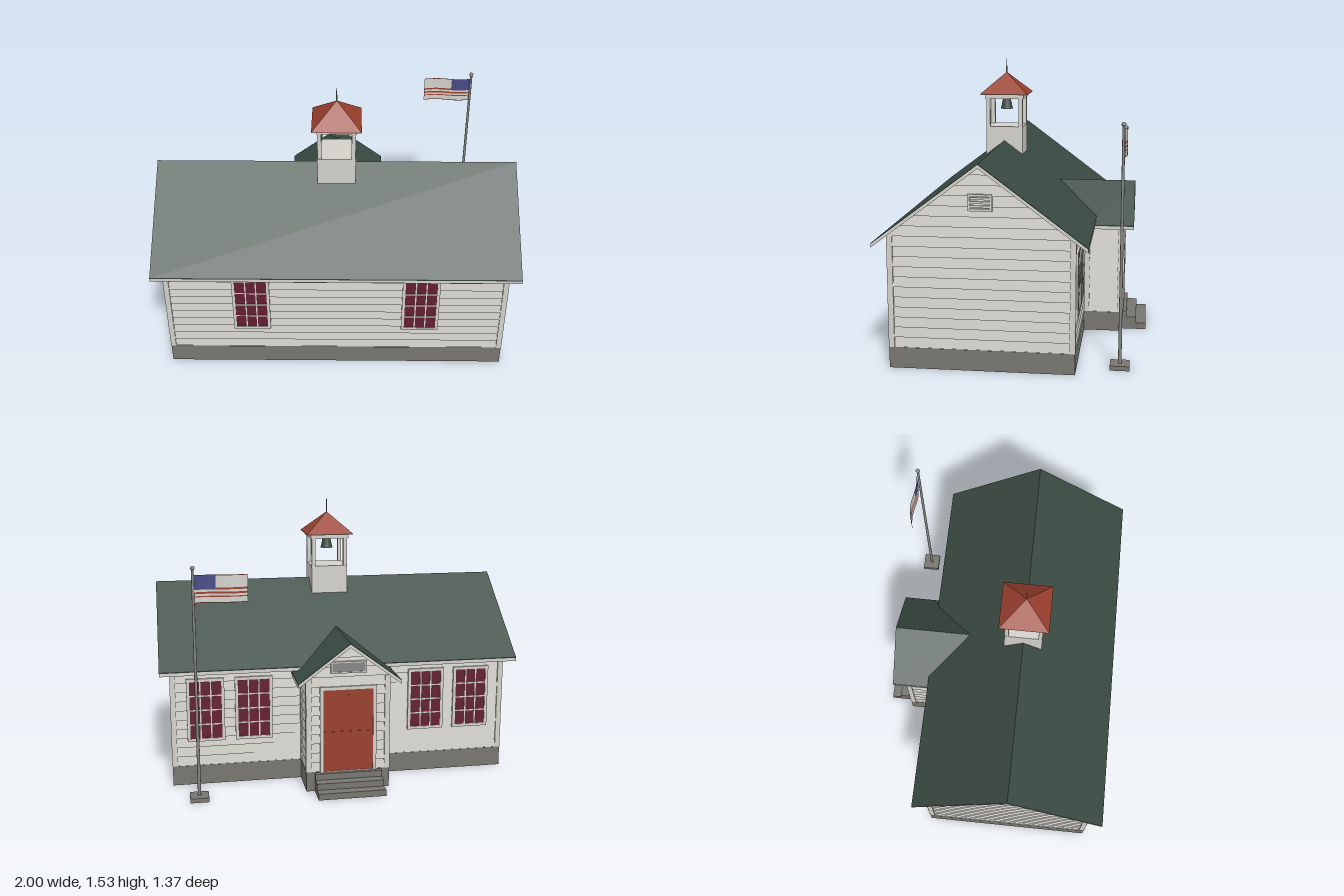
import * as THREE from 'three';

const mat = (name, color, side = THREE.FrontSide) => {
  const m = new THREE.MeshStandardMaterial({ color, side });
  m.name = name;
  return m;
};

export function createModel() {
  const D = THREE.DoubleSide;
  const siding = mat('siding white', 0xd3d1ca, D);
  const shingle = mat('shingle green', 0x3a4a43, D);
  const stone = mat('foundation grey', 0x787670, D);
  const red = mat('barn red', 0x9a402e, D);
  const glass = mat('window maroon', 0x631f33);
  const metal = mat('metal grey', 0x858683);
  const blue = mat('flag blue', 0x454a85, D);

  const model = new THREE.Group();
  model.name = 'schoolhouse';
  const add = (parent, name, geo, material, x = 0, y = 0, z = 0) => {
    const m = new THREE.Mesh(geo, material);
    m.name = name;
    m.position.set(x, y, z);
    parent.add(m);
    return m;
  };
  const box = (parent, name, material, w, h, d, x, y, z) =>
    add(parent, name, new THREE.BoxGeometry(w, h, d), material, x, y, z);

  // Rectangular trim frame around an opening of w x h, with border b
  const frame = (parent, name, w, h, b, d, x, y, z) => {
    for (const s of [-1, 1]) {
      box(parent, name, siding, b, h + 2 * b, d, x + s * (w + b) / 2, y, z);
      box(parent, name, siding, w, b, d, x, y + s * (h + b) / 2, z);
    }
  };

  // Lapped boards facing +z; half(y) gives the half width at each height
  const BASE = 0.11, LAP = 0.008;
  const clapboards = (top, step, half) => {
    const p = [];
    const quad = (a, b, c, d) => p.push(...a, ...b, ...c, ...a, ...c, ...d);
    for (let y = BASE; y < top - 1e-4; y += step) {
      const y2 = Math.min(y + step, top), w = half(y), w2 = half(y2);
      quad([-w, y, 0], [w, y, 0], [w2, y2, -LAP], [-w2, y2, -LAP]);
      quad([-w, y, -LAP], [w, y, -LAP], [w, y, 0], [-w, y, 0]);
    }
    const g = new THREE.BufferGeometry();
    g.setAttribute('position', new THREE.Float32BufferAttribute(p, 3));
    g.computeVertexNormals();
    return g;
  };

  const addWindow = (wall, x) => {
    const w = 0.175, h = 0.325, y = 0.428;
    box(wall, 'windowPane', glass, w, h, 0.014, x, y, -0.005);
    frame(wall, 'windowFrame', w, h, 0.016, 0.018, x, y, -0.003);
    for (const i of [-1, 1]) box(wall, 'muntin', siding, 0.007, h, 0.006, x + i * w / 6, y, 0.002);
    for (const i of [-1, 0, 1]) box(wall, 'muntin', siding, w, 0.007, 0.006, x, y + i * h / 4, 0.002);
  };

  // Walls: each group faces outward along its own +z
  const SLOPE = 0.75;
  const addWall = (name, x, z, turn, half, eave, courses, peak = eave) => {
    const wall = new THREE.Group();
    wall.name = name;
    wall.position.set(x, 0, z);
    wall.rotation.y = turn;
    model.add(wall);
    add(wall, 'foundation', new THREE.PlaneGeometry(half * 2, BASE), stone, 0, BASE / 2, 0);
    const width = y => (y <= eave + 1e-4 ? half : Math.max(0, (peak - y) / SLOPE));
    add(wall, 'clapboards', clapboards(peak, (eave - BASE) / courses, width), siding, 0, 0, -0.002);
    for (const s of [-1, 1])
      box(wall, 'cornerBoard', siding, 0.028, eave - BASE, 0.012, s * (half - 0.014), (eave + BASE) / 2, -0.004);
    return wall;
  };
  const MID = 0.145, Q = Math.PI / 2;
  const front = addWall('frontWall', 0, 0.62, 0, 0.945, 0.69, 11);
  const back = addWall('backWall', 0, -0.33, Math.PI, 0.945, 0.69, 11);
  const porch = addWall('porchWall', 0, -0.545, Math.PI, 0.23, 0.64, 10, 0.815);
  for (const s of [-1, 1]) {
    const gable = addWall('gableWall', s * 0.945, MID, s * Q, 0.475, 0.69, 11, 1.05);
    frame(gable, 'ventFrame', 0.1, 0.06, 0.012, 0.018, 0, 0.87, 0);
    for (const i of [-1, 0, 1]) box(gable, 'ventSlat', siding, 0.1, 0.012, 0.012, 0, 0.87 + i * 0.02, 0);
    addWall('porchSideWall', s * 0.23, -0.4375, s * Q, 0.1075, 0.64, 10);
    addWindow(front, s * 0.47);
    addWindow(back, s * 0.49);
    addWindow(back, s * 0.755);
  }

  // Porch door and sign board
  box(porch, 'door', red, 0.275, 0.46, 0.014, 0, 0.34, -0.004);
  box(porch, 'doorRail', red, 0.275, 0.012, 0.004, 0, 0.33, 0.004);
  box(porch, 'doorStile', red, 0.012, 0.2, 0.004, 0, 0.44, 0.004);
  frame(porch, 'doorFrame', 0.275, 0.46, 0.018, 0.02, 0, 0.34, -0.002);
  box(porch, 'signBoard', metal, 0.18, 0.05, 0.012, 0, 0.695, 0.005);
  frame(porch, 'signFrame', 0.18, 0.05, 0.007, 0.018, 0, 0.695, 0.005);

  // Steps
  for (let i = 0; i < 3; i++) {
    const h = 0.105 - i * 0.035, d = i ? 0.055 : 0.025;
    box(model, 'step', stone, 0.37, h, d, 0, h / 2, -0.57 - i * 0.055 + d / 2);
  }

  // Gable roof slab, ridge along z and starting at z = 0
  const chevron = (ridge, span, thick, length) => {
    const e = ridge - span * SLOPE;
    const s = new THREE.Shape();
    s.moveTo(0, ridge);
    s.lineTo(-span, e);
    s.lineTo(-span, e - thick);
    s.lineTo(0, ridge - thick);
    s.lineTo(span, e - thick);
    s.lineTo(span, e);
    return new THREE.ExtrudeGeometry(s, { depth: length, bevelEnabled: false });
  };
  for (const [name, material, ridge, thick] of [
    ['Deck', siding, 1.066, 0.018], ['Shingles', shingle, 1.07, 0.004]]) {
    const main = chevron(ridge, 0.54, thick, 2).translate(0, 0, -1).rotateY(Q);
    add(model, 'roof' + name, main, material, 0, 0, MID);
    // Porch roof: inner end is slanted to finish just under the main roof
    const small = chevron(ridge - 0.235, 0.28, thick, 0.265);
    const p = small.attributes.position;
    for (let i = 0; i < p.count; i++)
      if (p.getZ(i) > 0.1) p.setZ(i, 0.265 + (p.getY(i) - 0.625) * 0.82);
    small.computeVertexNormals();
    add(model, 'porchRoof' + name, small, material, 0, 0, -0.605);
  }

  // Bell tower
  const tower = new THREE.Group();
  tower.name = 'bellTower';
  tower.position.z = MID;
  model.add(tower);
  box(tower, 'towerBase', siding, 0.21, 0.17, 0.21, 0, 1.065, 0);
  for (const x of [-1, 1]) for (const z of [-1, 1])
    box(tower, 'towerPost', siding, 0.022, 0.17, 0.022, x * 0.093, 1.233, z * 0.093);
  for (const s of [-1, 1]) {
    box(tower, 'towerBeam', siding, 0.22, 0.025, 0.025, 0, 1.322, s * 0.0975);
    box(tower, 'towerBeam', siding, 0.025, 0.025, 0.17, s * 0.0975, 1.322, 0);
  }
  box(tower, 'soffit', siding, 0.264, 0.004, 0.264, 0, 1.334, 0);
  const pyramid = new THREE.ConeGeometry(0.135 * Math.SQRT2, 0.12, 4, 1, true).toNonIndexed();
  pyramid.rotateY(Math.PI / 4).computeVertexNormals();
  add(tower, 'towerRoof', pyramid, red, 0, 1.396, 0);
  add(tower, 'spire', new THREE.CylinderGeometry(0.002, 0.004, 0.085, 8), metal, 0, 1.488, 0);
  const bell = [[0.036, 1.245], [0.031, 1.262], [0.025, 1.29], [0.021, 1.304], [0, 1.31]];
  add(tower, 'bell', new THREE.LatheGeometry(bell.map(v => new THREE.Vector2(...v)), 16), shingle);
  add(tower, 'clapper', new THREE.SphereGeometry(0.008, 10, 8), shingle, 0, 1.25, 0);
  box(tower, 'bellYoke', shingle, 0.17, 0.012, 0.012, 0, 1.314, 0);

  // Flagpole
  const PX = 0.81, PZ = -0.55;
  box(model, 'flagpoleBase', stone, 0.1, 0.024, 0.1, PX, 0.012, PZ);
  add(model, 'flagpole', new THREE.CylinderGeometry(0.007, 0.009, 1.22, 12), metal, PX, 0.634, PZ);
  add(model, 'flagpoleBall', new THREE.SphereGeometry(0.012, 12, 8), metal, PX, 1.25, PZ);

  // Flag: waving bands of cloth
  const cloth = (name, material, x0, x1, y0, y1) => {
    const g = new THREE.PlaneGeometry(x1 - x0, y1 - y0, 12, 1);
    g.translate((x0 + x1) / 2, (y0 + y1) / 2, 0);
    const p = g.attributes.position;
    for (let i = 0; i < p.count; i++)
      p.setZ(i, PZ - 0.01 + 0.008 * Math.sin((PX - p.getX(i)) * 23));
    g.computeVertexNormals();
    add(model, name, g, material);
  };
  const IN = 0.695, OUT = 0.53, HOIST = 0.804;
  const rows = [1.07, 1.074, 1.1, 1.106, 1.117, 1.127, 1.139, 1.149, 1.211, 1.215];
  for (let i = 0; i < rows.length - 1; i++)
    cloth('flagStripe', i % 2 ? siding : red, OUT, rows[i] > 1.13 ? IN : HOIST, rows[i], rows[i + 1]);
  cloth('flagCorner', blue, IN, HOIST, 1.139, 1.215);

  return model;
}
